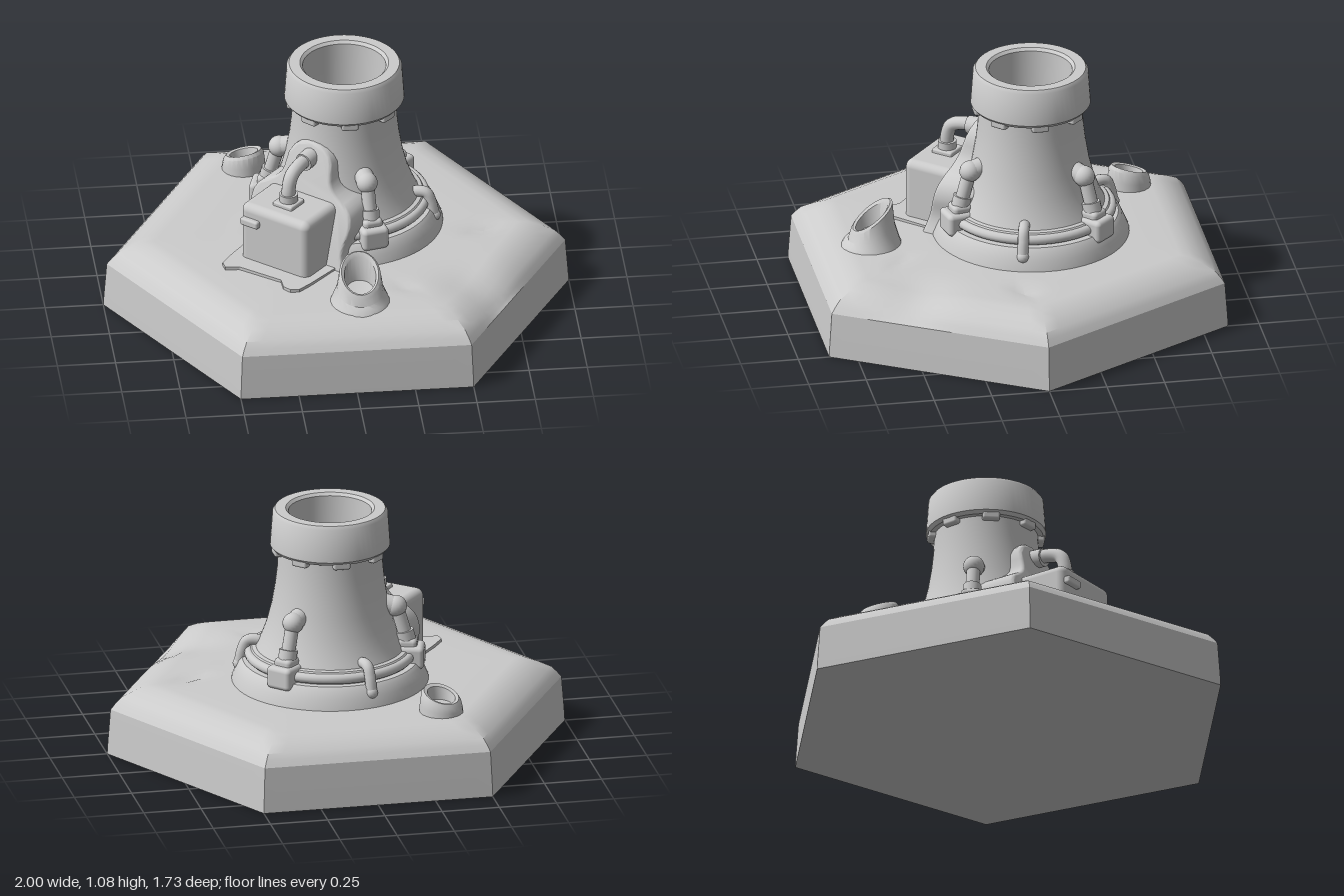
import * as THREE from 'three';
import { toCreasedNormals } from 'three/addons/utils/BufferGeometryUtils.js';
import { RoundedBoxGeometry } from 'three/addons/geometries/RoundedBoxGeometry.js';

const grey = new THREE.MeshStandardMaterial({ color: 0xcccccc });
const TOWER = new THREE.Vector3(0.045, 0, -0.09);
const v2 = (pairs) => pairs.map(([x, y]) => new THREE.Vector2(x, y));
const v3 = (x, y, z) => new THREE.Vector3(x, y, z);

function add(parent, name, geometry, x = 0, y = 0, z = 0) {
  const mesh = new THREE.Mesh(geometry, grey);
  mesh.name = name;
  mesh.position.set(x, y, z);
  parent.add(mesh);
  return mesh;
}

// Move every vertex of a geometry by a rule, then rebuild its normals
function reshape(geometry, rule, crease = 0.6) {
  const p = geometry.attributes.position;
  const v = new THREE.Vector3();
  for (let i = 0; i < p.count; i++) {
    v.fromBufferAttribute(p, i);
    rule(v);
    p.setXYZ(i, v.x, v.y, v.z);
  }
  return toCreasedNormals(geometry, crease);
}

// Group whose local +x points away from the tower axis; angle runs from +x to +z
function radial(parent, name, degrees) {
  const g = new THREE.Group();
  g.name = name;
  g.rotation.y = -THREE.MathUtils.degToRad(degrees);
  parent.add(g);
  return g;
}

function rod(parent, name, a, b, r0, r1 = r0) {
  const d = b.clone().sub(a);
  const m = add(parent, name, new THREE.CylinderGeometry(r1, r0, d.length(), 16));
  m.position.copy(a).addScaledVector(d, 0.5);
  m.quaternion.setFromUnitVectors(v3(0, 1, 0), d.normalize());
}

// Hexagonal mound, rounder towards the middle, with a few shallow dents
function baseGeometry() {
  const profile = v2([[0, 0], [1, 0], [0.997, 0.05], [0.985, 0.2], [0.965, 0.225], [0.94, 0.25], [0.885, 0.277], [0.83, 0.298],
    [0.78, 0.301], [0.72, 0.303], [0.66, 0.305], [0.6, 0.306], [0.54, 0.307], [0.48, 0.308], [0.4, 0.31], [0, 0.31]]);
  const dents = [[0.62, 0.04, 0.05, 0.02], [0.24, 0.5, 0.04, 0.015], [0.56, 0.5, 0.14, 0.03]];
  return reshape(new THREE.LatheGeometry(profile, 96), (v) => {
    const r = Math.hypot(v.x, v.z);
    const sector = Math.PI / 3;
    const a = ((Math.atan2(v.z, v.x) + 1e-7) % sector + sector) % sector;
    const hex = Math.cos(sector / 2) / Math.cos(a - sector / 2);
    const k = THREE.MathUtils.lerp(0.93, hex, THREE.MathUtils.smoothstep(r, 0.3, 0.82));
    // full hexagon on the walls; z spans 0.866 exactly
    v.x *= k;
    v.z *= k;
    if (v.y > 0.22) {
      for (const [x, z, size, depth] of dents) {
        v.y -= depth * Math.exp(-((v.x - x) ** 2 + (v.z - z) ** 2) / (size * size));
      }
    }
  }, 0.5);
}

// Short hollow stub whose mouth slants towards +z
function ventGeometry(profile, slope, floor, height) {
  return reshape(new THREE.LatheGeometry(v2(profile), 24), (v) => {
    v.y -= slope * v.z * THREE.MathUtils.clamp((v.y - floor) / height, 0, 1);
  });
}

function addStrut(parent, degrees) {
  const g = radial(parent, 'strut', degrees);
  add(g, 'strutFoot', new RoundedBoxGeometry(0.12, 0.1, 0.12, 3, 0.02), 0.345, 0.42, 0);
  add(g, 'strutClamp', new RoundedBoxGeometry(0.085, 0.06, 0.085, 3, 0.018), 0.332, 0.47, 0);
  rod(g, 'strutSleeve', v3(0.335, 0.46, 0), v3(0.318, 0.53, 0), 0.04);
  rod(g, 'strutRod', v3(0.32, 0.52, 0), v3(0.285, 0.64, 0), 0.03);
  add(g, 'strutKnuckle', new THREE.SphereGeometry(0.046, 20, 14), 0.283, 0.64, 0);
  rod(g, 'strutPin', v3(0.2, 0.66, 0), v3(0.283, 0.64, 0), 0.042);
}

function addHook(parent, degrees) {
  const g = radial(parent, 'hook', degrees);
  const path = new THREE.CatmullRomCurve3([v3(0.27, 0.46, 0), v3(0.315, 0.475, 0), v3(0.355, 0.47, 0),
    v3(0.375, 0.43, 0), v3(0.39, 0.36, 0)]);
  add(g, 'hookTube', new THREE.TubeGeometry(path, 20, 0.024, 12));
  add(g, 'hookTip', new THREE.SphereGeometry(0.027, 14, 10), 0.39, 0.365, 0);
}

function addMachine(parent) {
  const g = radial(parent, 'pumpUnit', 131);

  // Floor plate with notched outer corners
  const plate = new THREE.Shape(v2([[0.25, -0.23], [0.55, -0.21], [0.62, -0.2], [0.645, -0.17], [0.61, -0.12], [0.6, 0.09],
    [0.64, 0.13], [0.645, 0.17], [0.62, 0.2], [0.55, 0.21], [0.25, 0.23]]));
  const plateGeo = new THREE.ExtrudeGeometry(plate, { depth: 0.025, bevelEnabled: false });
  plateGeo.rotateX(-Math.PI / 2);
  add(g, 'floorPlate', plateGeo, 0, 0.295, 0);

  // Curved saddle that leans back along the tower wall
  const s = new THREE.Shape();
  s.moveTo(-0.25, 0.3);
  s.lineTo(0.25, 0.3);
  s.bezierCurveTo(0.2, 0.4, 0.25, 0.44, 0.245, 0.5);
  s.bezierCurveTo(0.24, 0.6, 0.11, 0.56, 0.105, 0.69);
  s.bezierCurveTo(0.105, 0.82, -0.105, 0.82, -0.105, 0.69);
  s.bezierCurveTo(-0.11, 0.56, -0.24, 0.6, -0.245, 0.5);
  s.bezierCurveTo(-0.25, 0.44, -0.2, 0.4, -0.25, 0.3);
  const saddle = new THREE.ExtrudeGeometry(s, { depth: 0.16, curveSegments: 10, bevelThickness: 0.015, bevelSize: 0.012, bevelSegments: 3 });
  saddle.rotateY(Math.PI / 2);
  add(g, 'saddle', reshape(saddle, (v) => {
    v.x += 0.215 - 0.3 * (v.y - 0.3);
  }));

  // Housing with latch and pipe socket
  add(g, 'housing', new RoundedBoxGeometry(0.3, 0.3, 0.35, 4, 0.035), 0.38, 0.43, 0);
  add(g, 'latch', new RoundedBoxGeometry(0.035, 0.035, 0.09, 2, 0.01), 0.535, 0.505, 0.115);
  add(g, 'pipePad', new RoundedBoxGeometry(0.1, 0.025, 0.1, 2, 0.008), 0.415, 0.585, 0);
  rod(g, 'pipeSocket', v3(0.415, 0.58, 0), v3(0.415, 0.63, 0), 0.04);
  const bend = new THREE.CatmullRomCurve3([v3(0.415, 0.58, 0), v3(0.415, 0.65, 0), v3(0.395, 0.705, 0),
    v3(0.34, 0.73, 0), v3(0.24, 0.735, 0)]);
  add(g, 'pipe', new THREE.TubeGeometry(bend, 28, 0.03, 14));
  rod(g, 'pipeFlange', v3(0.24, 0.735, 0), v3(0.305, 0.73, 0), 0.04);
}

export function createModel() {
  const model = new THREE.Group();
  model.name = 'ventTower';
  add(model, 'base', baseGeometry());

  // Tower: foot flange, step, flared wall, collar and open bore in one profile
  const tower = new THREE.Group();
  tower.name = 'tower';
  tower.position.copy(TOWER);
  model.add(tower);
  const wall = v2([[0.425, 0.29], [0.42, 0.315], [0.405, 0.35], [0.39, 0.385], [0.375, 0.4], [0.345, 0.4], [0.345, 0.44],
    [0.335, 0.452], [0.317, 0.455], [0.295, 0.5], [0.27, 0.57], [0.25, 0.65], [0.235, 0.74], [0.226, 0.82], [0.222, 0.905],
    [0.245, 0.905], [0.257, 0.92], [0.247, 1.065], [0.236, 1.08], [0.19, 1.08], [0.178, 1.068], [0.172, 0.8],
    [0.165, 0.7], [0.14, 0.63], [0.09, 0.585], [0, 0.57]]);
  add(tower, 'towerWall', toCreasedNormals(new THREE.LatheGeometry(wall, 64), 0.6));
  const ring = new THREE.TorusGeometry(0.345, 0.022, 12, 64);
  ring.rotateX(Math.PI / 2);
  add(tower, 'footRing', ring, 0, 0.425, 0);

  // Clips below the collar
  for (let i = 0; i < 8; i++) {
    const g = radial(tower, 'collarClip', i * 45);
    add(g, 'clip', new RoundedBoxGeometry(0.04, 0.035, 0.075, 2, 0.01), 0.23, 0.9, 0);
  }

  for (const a of [-44, 76, 196]) addStrut(tower, a);
  for (const a of [15, 255]) addHook(tower, a);
  addMachine(tower);

  // Slanted vents on the mound
  add(model, 'frontVent', ventGeometry([[0.135, 0.285], [0.12, 0.32], [0.1, 0.36], [0.09, 0.425], [0.08, 0.435],
    [0.068, 0.425], [0.06, 0.35], [0, 0.34]], 0.78, 0.31, 0.11), 0.04, 0, 0.6);
  const back = add(model, 'backVent', ventGeometry([[0.095, 0.285], [0.092, 0.33], [0.086, 0.365], [0.075, 0.38],
    [0.06, 0.375], [0.052, 0.33], [0, 0.325]], 0.35, 0.3, 0.07), -0.335, 0, -0.585);
  back.rotation.y = Math.PI * 1.2;
  return model;
}
